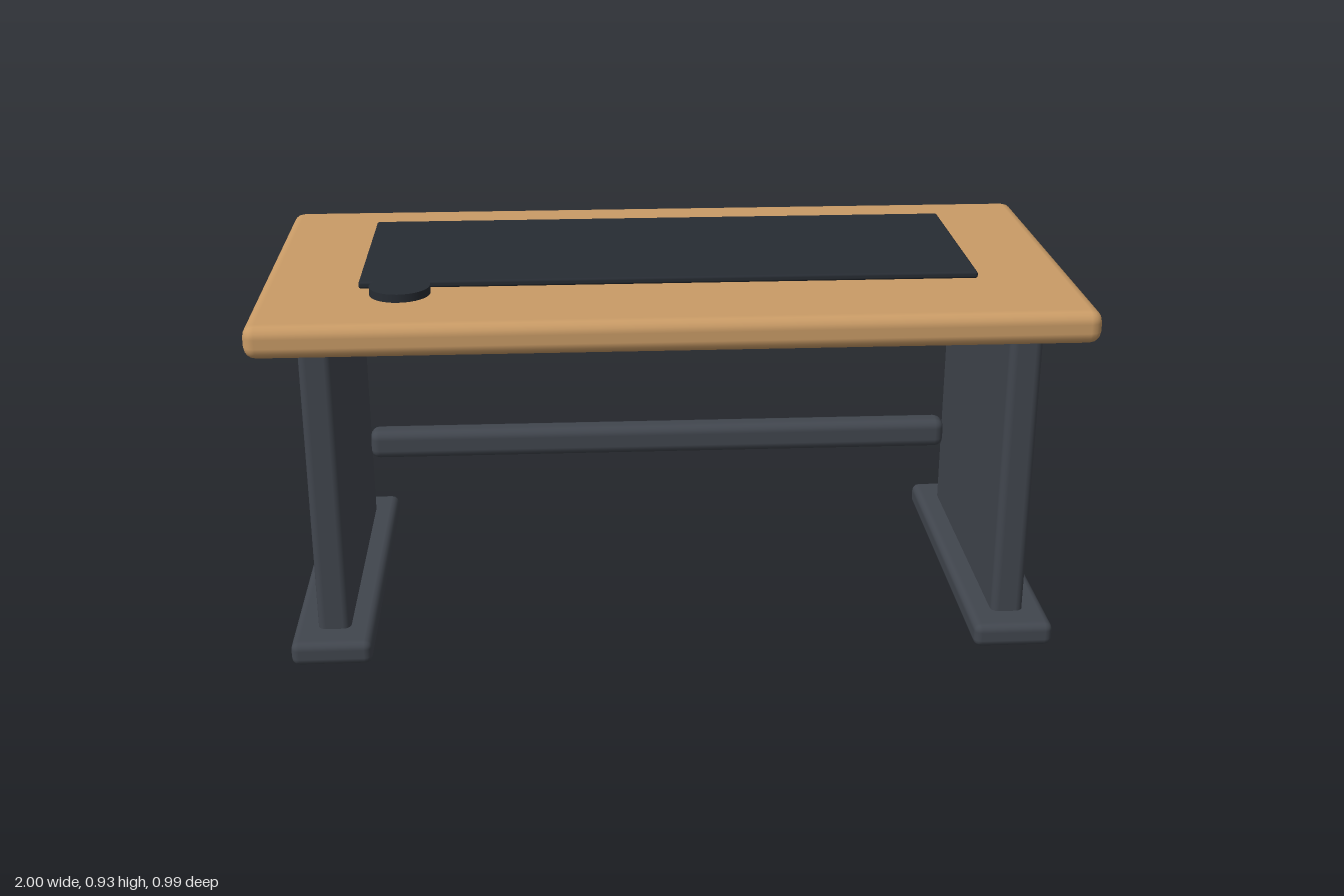
import * as THREE from 'three';
import { RoundedBoxGeometry } from 'three/addons/geometries/RoundedBoxGeometry.js';

const wood = new THREE.MeshStandardMaterial({ color: 0xc99b66 });
const steel = new THREE.MeshStandardMaterial({ color: 0x41464e });
const dark = new THREE.MeshStandardMaterial({ color: 0x272c33 });

// Rounded block given by its [min, max] extent on each axis
function block(name, [x0, x1], [y0, y1], [z0, z1], radius, material) {
  const geometry = new RoundedBoxGeometry(x1 - x0, y1 - y0, z1 - z0, 2, radius);
  const mesh = new THREE.Mesh(geometry, material);
  mesh.name = name;
  mesh.position.set((x0 + x1) / 2, (y0 + y1) / 2, (z0 + z1) / 2);
  return mesh;
}

export function createModel() {
  const desk = new THREE.Group();
  desk.name = 'desk';

  // Wooden top
  desk.add(block('tabletop', [-1, 1], [0.823, 0.905], [-0.495, 0.495], 0.03, wood));

  // Panel leg on a long foot, one at each end
  for (const [side, s] of [['left', 1], ['right', -1]]) {
    const span = (a, b) => (s > 0 ? [a, b] : [-b, -a]);
    desk.add(block(side + 'Leg', span(0.813, 0.895), [0.04, 0.818], [-0.37, 0.37], 0.02, steel));
    desk.add(block(side + 'Foot', span(0.755, 0.955), [0, 0.062], [-0.45, 0.45], 0.02, steel));
  }

  // Stretcher bar joining the legs along the back
  desk.add(block('stretcher', [-0.815, 0.815], [0.228, 0.31], [-0.386, -0.315], 0.025, steel));

  // Desk mat
  desk.add(block('deskMat', [-0.757, 0.757], [0.906, 0.923], [-0.317, 0.22], 0.006, dark));

  // Round coaster overlapping the mat's front corner
  const coaster = new THREE.Mesh(new THREE.CylinderGeometry(0.073, 0.073, 0.02, 32), dark);
  coaster.name = 'coaster';
  coaster.position.set(-0.653, 0.92, 0.27);
  desk.add(coaster);

  return desk;
}
